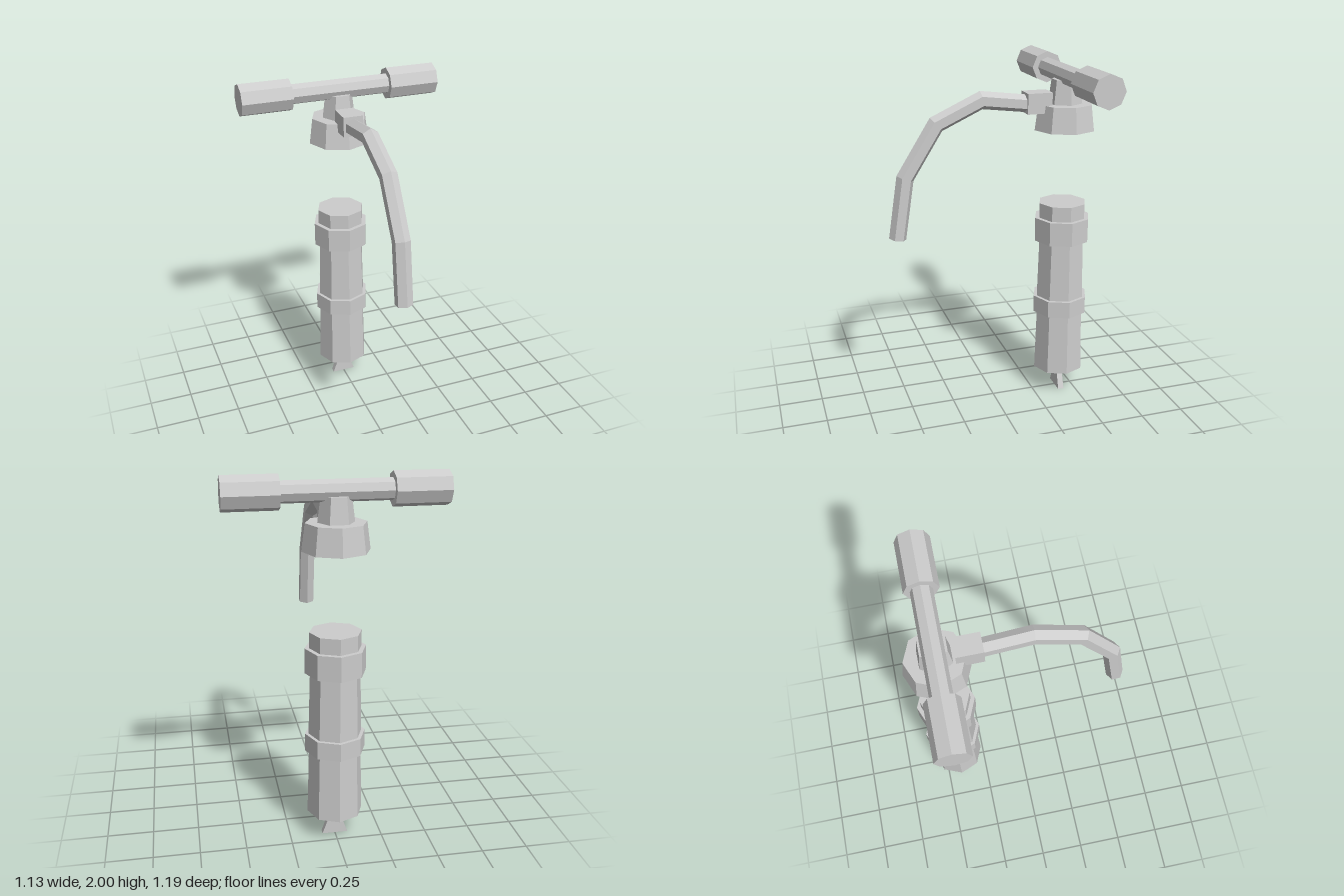
import * as THREE from 'three';

const AXIS_Z = -0.415; // shared vertical axis of handle, collar and body

export function createModel() {
  const group = new THREE.Group();
  const metal = new THREE.MeshStandardMaterial({ color: 0xcccccc });
  metal.name = 'lightGreyMetal';

  function add(name, geometry, x, y, z) {
    const flat = geometry.index ? geometry.toNonIndexed() : geometry;
    flat.computeVertexNormals();
    const mesh = new THREE.Mesh(flat, metal);
    mesh.name = name;
    mesh.position.set(x, y, z);
    group.add(mesh);
    return mesh;
  }

  // Upright faceted drum on the main axis
  function drum(name, rBottom, rTop, y0, y1, sides = 8) {
    const g = new THREE.CylinderGeometry(rTop, rBottom, y1 - y0, sides);
    if (sides === 6) g.rotateY(Math.PI / 2);
    return add(name, g, 0, (y0 + y1) / 2, AXIS_Z);
  }

  // Faceted rod lying along x
  function rod(name, r, x0, x1) {
    const g = new THREE.CylinderGeometry(r, r, x1 - x0, 8).rotateZ(Math.PI / 2);
    return add(name, g, (x0 + x1) / 2, 1.911, AXIS_Z);
  }

  // Lower body
  drum('lowerBody', 0.152, 0.142, 0.147, 0.519);
  drum('middleBand', 0.163, 0.163, 0.519, 0.618);
  drum('upperBody', 0.144, 0.135, 0.618, 0.966);
  drum('upperBand', 0.163, 0.163, 0.966, 1.103);
  drum('bodyCap', 0.138, 0.138, 1.103, 1.189);

  // Key-shaped foot under the body
  drum('footDisc', 0.042, 0.042, 0.13, 0.147);
  const fin = new THREE.Shape([
    new THREE.Vector2(-0.07, 0), new THREE.Vector2(0.07, 0),
    new THREE.Vector2(0.024, 0.13), new THREE.Vector2(-0.024, 0.13),
  ]);
  const finGeometry = new THREE.ExtrudeGeometry(fin, { depth: 0.034, bevelEnabled: false });
  add('footFin', finGeometry, 0, 0, AXIS_Z - 0.017);

  // Head: collar, neck and cross handle
  drum('collar', 0.176, 0.157, 1.614, 1.756);
  drum('neck', 0.095, 0.078, 1.756, 1.888, 6);
  rod('handleBar', 0.056, -0.3, 0.3);
  rod('rightGrip', 0.089, -0.566, -0.283);
  rod('leftGrip', 0.089, 0.283, 0.566);

  // Spout socket and bent hexagonal spout
  add('spoutSocket', new THREE.BoxGeometry(0.11, 0.112, 0.14), 0, 1.77, -0.25);
  const path = [[-0.22, 1.762], [0.067, 1.798], [0.317, 1.683], [0.494, 1.402], [0.547, 1.063]]
    .map(([z, y]) => new THREE.Vector2(z, y));
  add('spout', mitredPipe(path, 0.048, 6), 0, 0, 0);

  return group;
}

// Sweeps a polygon along a path of (z, y) points with mitred corners
function mitredPipe(path, radius, sides) {
  const last = path.length - 1;
  const dir = (i) => path[i + 1].clone().sub(path[i]).normalize();
  const positions = [];
  const index = [];
  path.forEach((p, i) => {
    const before = dir(Math.max(i - 1, 0));
    const after = dir(Math.min(i, last - 1));
    const tangent = before.clone().add(after).normalize();
    const stretch = radius / tangent.dot(before);
    for (let s = 0; s < sides; s++) {
      const a = (s / sides) * Math.PI * 2;
      const out = Math.cos(a) * stretch;
      positions.push(Math.sin(a) * radius, p.y + tangent.x * out, p.x - tangent.y * out);
    }
  });
  for (let i = 0; i < last; i++) {
    for (let s = 0; s < sides; s++) {
      const a = i * sides + s;
      const b = i * sides + (s + 1) % sides;
      index.push(a, a + sides, b, b, a + sides, b + sides);
    }
  }
  // End caps
  const end = last * sides;
  for (let s = 1; s < sides - 1; s++) {
    index.push(0, s, s + 1, end, end + s + 1, end + s);
  }
  const g = new THREE.BufferGeometry();
  g.setAttribute('position', new THREE.Float32BufferAttribute(positions, 3));
  g.setIndex(index);
  return g;
}
